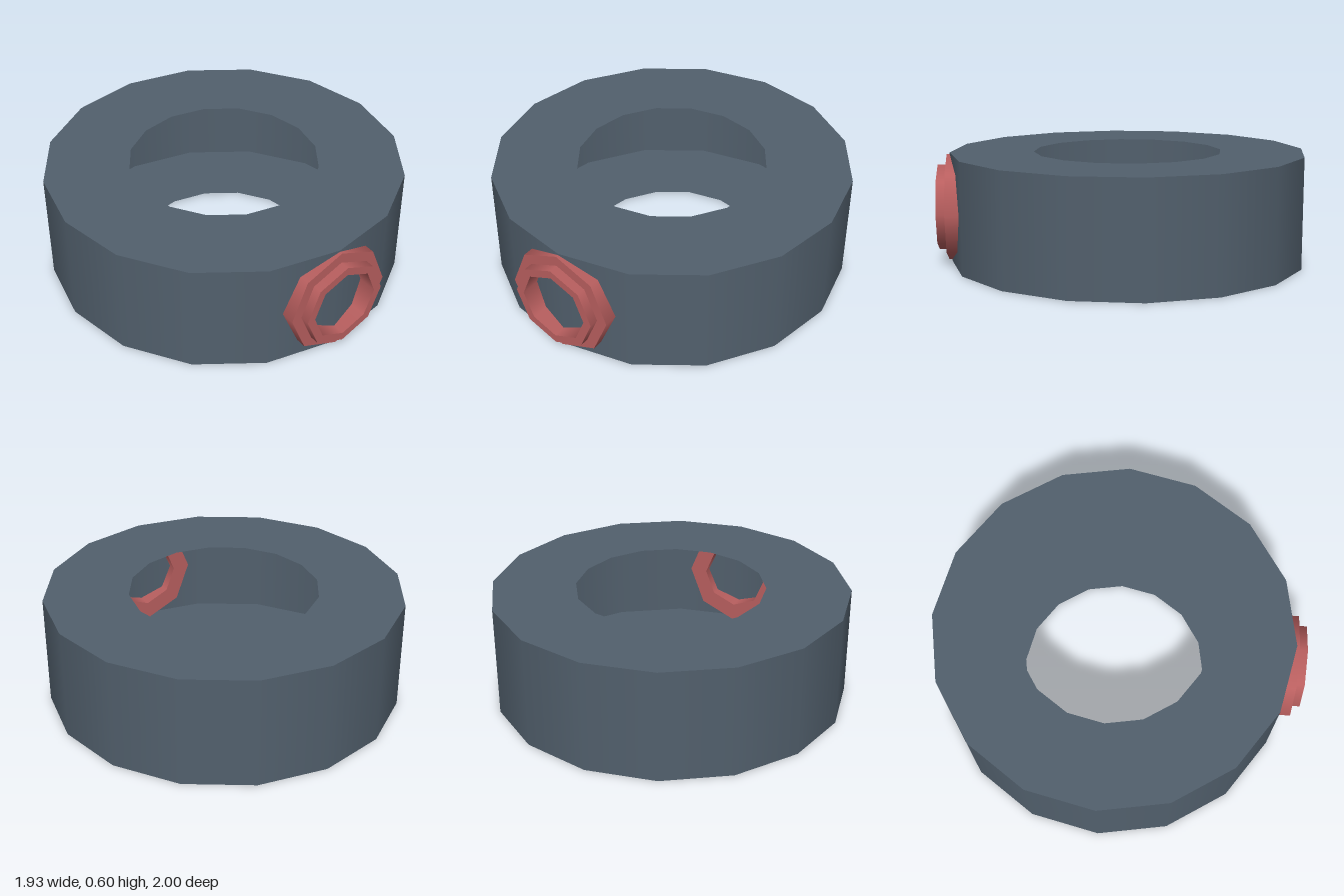
import * as THREE from 'three';

const slate = new THREE.MeshStandardMaterial({ color: 0x52606d, side: THREE.DoubleSide });
slate.name = 'slate grey';
const red = new THREE.MeshStandardMaterial({ color: 0xb95f5f, side: THREE.DoubleSide });
red.name = 'muted red';

function add(group, name, geometry, material) {
  const mesh = new THREE.Mesh(geometry, material);
  mesh.name = name;
  group.add(mesh);
  return mesh;
}

// Open octagonal sleeve along z
function sleeve(radius, z0, z1) {
  return new THREE.CylinderGeometry(radius, radius, z1 - z0, 8, 1, true)
    .rotateX(Math.PI / 2).translate(0, 0, (z0 + z1) / 2);
}

// Flat octagonal face at depth z, facing front or back
function face(inner, outer, z, back = false) {
  const g = new THREE.RingGeometry(inner, outer, 8);
  if (back) g.rotateY(Math.PI);
  return g.translate(0, 0, z);
}

export function createModel() {
  const model = new THREE.Group();
  model.name = 'collaredRing';

  // Hollow ring shell: outer wall with a top and a bottom plate, open towards the axis
  const R = 0.967, r = 0.513, H = 0.6;
  const ring = new THREE.Group();
  ring.name = 'ring';
  ring.position.z = -0.033;
  add(ring, 'outerWall',
    new THREE.CylinderGeometry(R, R, H, 16, 1, true).translate(0, H / 2, 0), slate);
  add(ring, 'topPlate',
    new THREE.RingGeometry(r, R, 16).rotateX(-Math.PI / 2).translate(0, H, 0), slate);
  add(ring, 'bottomPlate',
    new THREE.RingGeometry(r, R, 16).rotateX(Math.PI / 2), slate);
  model.add(ring);

  // Stepped octagonal collar set through the front wall
  const collar = new THREE.Group();
  collar.name = 'frontCollar';
  collar.position.y = 0.3;
  const back = 0.85, step = 0.95, front = 1.0;
  const bore = 0.19, lip = 0.235, flange = 0.292;
  add(collar, 'flangeSide', sleeve(flange, back, step), red);
  add(collar, 'flangeFace', face(lip, flange, step), red);
  add(collar, 'lipSide', sleeve(lip, step, front), red);
  add(collar, 'lipFace', face(bore, lip, front), red);
  add(collar, 'bore', sleeve(bore, back, front), red);
  add(collar, 'backFace', face(bore, flange, back, true), red);
  model.add(collar);

  return model;
}
